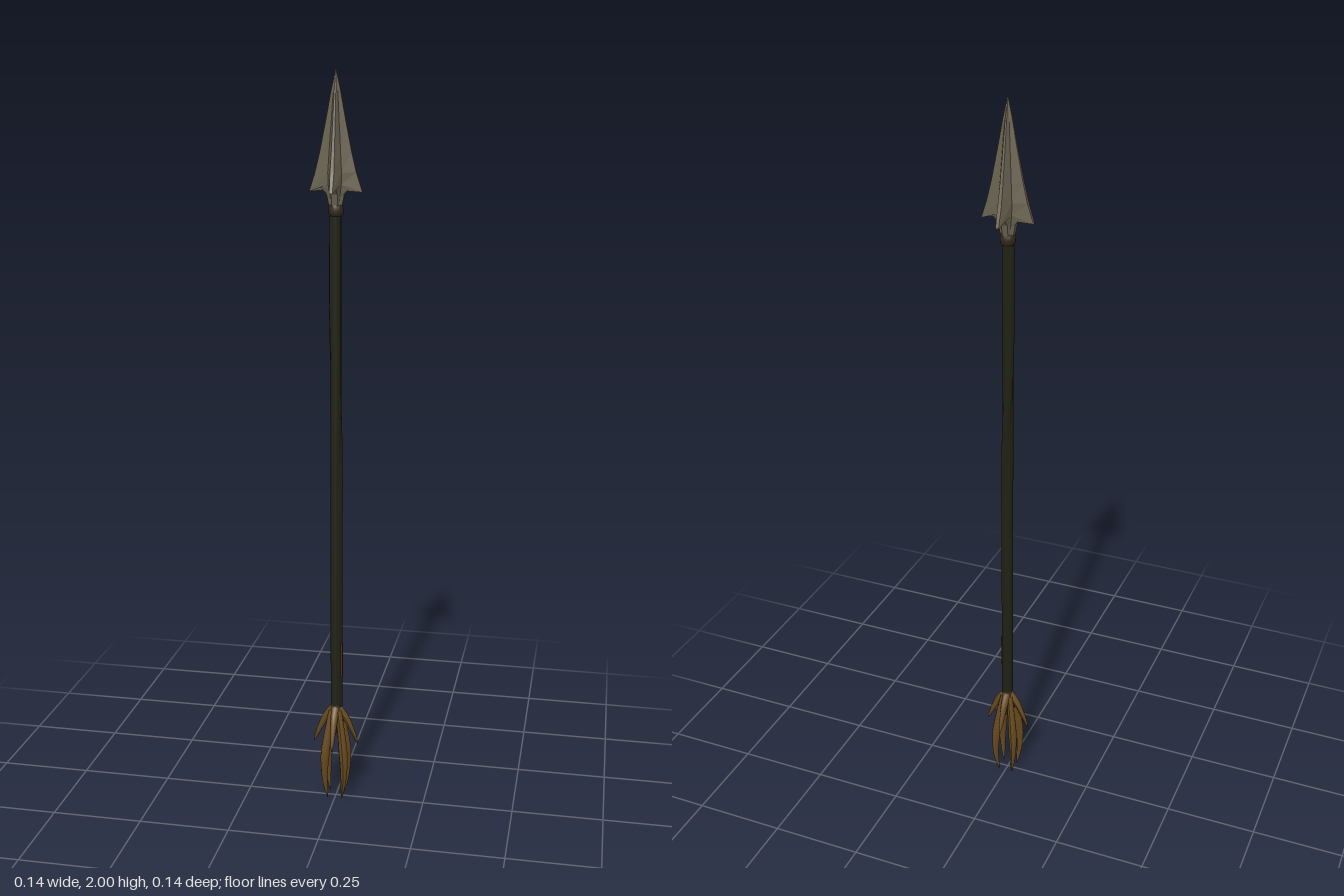
import * as THREE from 'three';

const flat = (name, color) => {
  const m = new THREE.MeshStandardMaterial({ color });
  m.name = name;
  return m;
};

// Tube along points whose thickness follows radiusAt(t)
function taperedTube(points, radiusAt, segments = 14, sides = 8) {
  const curve = new THREE.CatmullRomCurve3(points.map(p => new THREE.Vector3(...p)));
  const geo = new THREE.TubeGeometry(curve, segments, 1, sides);
  const pos = geo.attributes.position;
  const v = new THREE.Vector3();
  for (let i = 0; i <= segments; i++) {
    const c = curve.getPointAt(i / segments);
    const r = radiusAt(i / segments);
    for (let j = 0; j <= sides; j++) {
      const k = i * (sides + 1) + j;
      v.fromBufferAttribute(pos, k).sub(c).multiplyScalar(r).add(c);
      pos.setXYZ(k, v.x, v.y, v.z);
    }
  }
  geo.computeVertexNormals();
  return geo;
}

// Four-bladed head: each ring is a star of blade edges and valleys
function bladeGeometry() {
  // edge height, edge reach, half thickness, valley height, valley reach
  const rings = [
    [2.0, 0.001, 0.0005, 2.0, 0.001],
    [1.95, 0.012, 0.002, 1.95, 0.008],
    [1.88, 0.025, 0.003, 1.88, 0.014],
    [1.80, 0.041, 0.004, 1.80, 0.021],
    [1.75, 0.053, 0.005, 1.75, 0.025],
    [1.70, 0.069, 0.004, 1.72, 0.024],
    [1.715, 0.042, 0.006, 1.705, 0.021],
    [1.695, 0.023, 0.008, 1.69, 0.018],
    [1.65, 0.014, 0.007, 1.65, 0.014],
  ];
  const pos = [], index = [];
  for (const [ey, er, t, vy, vr] of rings) {
    for (let q = 0; q < 4; q++) {
      const a = q * Math.PI / 2;
      for (const [y, u, w] of [[ey, er, -t], [ey, er, t], [vy, vr * Math.SQRT1_2, vr * Math.SQRT1_2]]) {
        pos.push(u * Math.cos(a) - w * Math.sin(a), y, -(u * Math.sin(a) + w * Math.cos(a)));
      }
    }
  }
  for (let i = 0; i < rings.length - 1; i++) {
    for (let j = 0; j < 12; j++) {
      const k = (j + 1) % 12;
      const a = i * 12 + j, b = i * 12 + k, c = a + 12, d = b + 12;
      index.push(c, d, b, c, b, a);
    }
  }
  const geo = new THREE.BufferGeometry();
  geo.setAttribute('position', new THREE.Float32BufferAttribute(pos, 3));
  geo.setIndex(index);
  const out = geo.toNonIndexed();
  out.computeVertexNormals();
  return out;
}

export function createModel() {
  const steel = flat('weathered steel', 0x6a6351);
  const wood = flat('dark wood', 0x1f2114);
  const bone = flat('brown claw', 0x66491f);
  const bark = flat('dark bark', 0x33291a);
  const rust = flat('rust binding', 0x4a2a1a);

  const model = new THREE.Group();
  const add = (name, geo, mat, parent = model) => {
    const mesh = new THREE.Mesh(geo, mat);
    mesh.name = name;
    parent.add(mesh);
    return mesh;
  };
  const lathe = (pts, sides = 16) =>
    new THREE.LatheGeometry(pts.map(p => new THREE.Vector2(...p)), sides);

  // Spearhead and its collar
  add('spearhead', bladeGeometry(), steel);
  add('collar', lathe([[0.013, 1.638], [0.019, 1.645], [0.02, 1.655], [0.018, 1.667], [0.012, 1.675]]), bark);

  // Shaft with a thick strand winding slowly down it
  add('shaft', new THREE.CylinderGeometry(0.0145, 0.0145, 1.4, 10).translate(0, 0.95, 0), wood);
  const strand = [];
  for (let i = 0; i <= 14; i++) {
    const t = i / 14;
    const a = Math.PI + Math.PI * THREE.MathUtils.smoothstep(t, 0.1, 0.6);
    strand.push([0.006 * Math.cos(a), 1.64 - 1.36 * t, 0.006 * Math.sin(a)]);
  }
  add('shaftStrand', taperedTube(strand, () => 0.0125, 40), wood);
  add('shaftInlay', new THREE.BoxGeometry(0.006, 0.1, 0.01).translate(0.017, 0.42, 0.004), rust);

  // Knuckle where the claws meet
  add('clawHub', lathe([[0.001, 0.195], [0.014, 0.205], [0.021, 0.23], [0.022, 0.25], [0.018, 0.27], [0.013, 0.29]]), bark);

  // Four long claws on the diagonals, four short spread ones on the axes
  for (let q = 0; q < 4; q++) {
    const foot = new THREE.Group();
    foot.name = 'clawPair';
    foot.rotation.y = q * Math.PI / 2;
    model.add(foot);
    add('longClaw', taperedTube(
      [[0.009, 0.27, 0.009], [0.018, 0.21, 0.018], [0.026, 0.14, 0.026], [0.027, 0.07, 0.027], [0.02, 0.004, 0.02]],
      t => t < 0.45 ? 0.009 + 0.008 * t : 0.0126 * Math.pow((1 - t) / 0.55, 0.6) + 0.0005), bone, foot);
    add('shortClaw', taperedTube(
      [[0.006, 0.275, 0], [0.026, 0.25, 0], [0.045, 0.212, 0], [0.063, 0.168, 0]],
      t => 0.0115 * Math.pow(1 - t, 0.55) + 0.0005), bone, foot);
  }
  return model;
}
